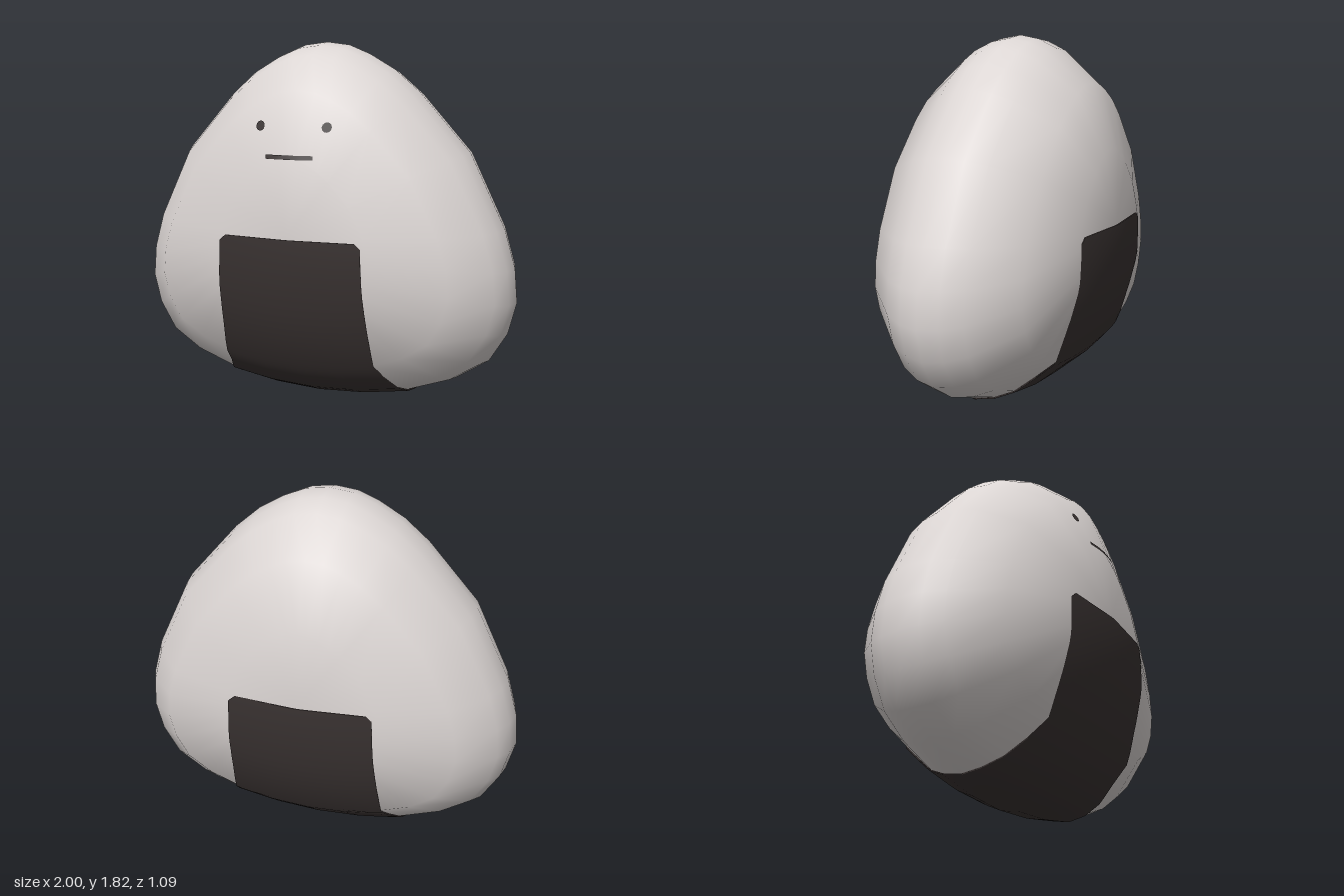
import * as THREE from 'three';
import { mergeVertices } from 'three/addons/utils/BufferGeometryUtils.js';

const CY = 0.915; // height of the body's middle
// Right half of the rounded triangle outline, top to bottom
const half = [[0, 1.825], [0.12, 1.81], [0.23, 1.765], [0.36, 1.69], [0.49, 1.58], [0.75, 1.29], [0.93, 0.92],
  [0.985, 0.73], [1, 0.56], [0.96, 0.4], [0.87, 0.25], [0.71, 0.145], [0.49, 0.065], [0.25, 0.025], [0, 0.01]];
// Counterclockwise closed outline
const outline = [...half.map(([x, y]) => [-x, y]), ...half.slice(0, -1).reverse()];
// Outline scale against depth, from the middle to the rim
const rings = [[0, 0.538], [0.4, 0.505], [0.75, 0.395], [0.93, 0.2], [0.98, 0.1], [1, 0]];

const lerpTable = (table, v) => {
  for (let i = 1; i < table.length; i++) {
    const [a, p] = table[i - 1], [b, q] = table[i];
    if (v <= b) return p + (q - p) * (v - a) / (b - a);
  }
  return table[table.length - 1][1];
};

// Which scaled copy of the outline passes through (x, y)
function outlineScale(x, y) {
  let s = 0;
  for (let i = 1; i < outline.length; i++) {
    const [ax, ay] = outline[i - 1], [bx, by] = outline[i];
    const nx = by - ay, ny = ax - bx;
    s = Math.max(s, (nx * x + ny * (y - CY)) / (nx * ax + ny * (ay - CY)));
  }
  return s;
}
const depthAt = (x, y) => lerpTable(rings, outlineScale(x, y));

// Surface from a grid of points
function gridGeometry(rows) {
  const n = rows[0].length, index = [];
  for (let i = 0; i < rows.length - 1; i++) for (let j = 0; j < n - 1; j++) {
    const a = i * n + j, b = a + n;
    index.push(a, b, b + 1, a, b + 1, a + 1);
  }
  const g = new THREE.BufferGeometry();
  g.setAttribute('position', new THREE.Float32BufferAttribute(rows.flat(2), 3));
  g.setIndex(index);
  return g;
}

function bodyGeometry() {
  const front = rings.map(([s, z]) => [s, z]);
  const back = rings.slice(0, -1).reverse().map(([s, z]) => [s, -z]);
  const rows = [...front, ...back].map(([s, z]) => outline.map(([x, y]) => [x * s, CY + (y - CY) * s, z]));
  const g = mergeVertices(gridGeometry(rows), 1e-4);
  g.computeVertexNormals();
  return g;
}

// Approximate outward direction on the lower body
const outward = (x, y, z) => new THREE.Vector3(x, (y - CY) / 0.82, z / 0.29).normalize();

// Point on the body reached from (x, 0.9, 0), going from front (0) under to back (180 degrees)
function wrapPoint(x, deg, lift) {
  const t = deg * Math.PI / 180, dy = -Math.sin(t), dz = Math.cos(t);
  let lo = 0, hi = 1.2;
  for (let k = 0; k < 30; k++) {
    const m = (lo + hi) / 2, y = 0.9 + dy * m;
    const s = outlineScale(x, y);
    if (s < 1 && Math.abs(dz * m) < lerpTable(rings, s)) lo = m; else hi = m;
  }
  const y = 0.9 + dy * lo, z = dz * lo, n = outward(x, y, z);
  return [x + n.x * lift, y + n.y * lift, z + n.z * lift];
}

function wrapGeometry() {
  const widths = [[0, 0.33], [3, 0.36], [12, 0.363], [24, 0.368], [35, 0.373], [46, 0.38], [58, 0.392],
    [67, 0.415], [76, 0.455], [83, 0.48], [90, 0.49]];
  const degs = [];
  widths.forEach(([d], i) => {
    if (i) for (let k = 1; k <= 3; k++) degs.push(widths[i - 1][0] + (d - widths[i - 1][0]) * k / 3);
    else degs.push(0);
  });
  const all = [...degs, ...degs.slice(0, -1).reverse().map(d => 180 - d)];
  all.unshift(0); all.push(180);
  const cols = 20;
  // The outermost rows and columns tuck under the surface to close the rim
  const rows = all.map((d, i) => {
    const w = lerpTable(widths, Math.min(d, 180 - d));
    return Array.from({ length: cols + 3 }, (_, j) => {
      const u = THREE.MathUtils.clamp((j - 1) / cols, 0, 1) * 2 - 1;
      const rim = i === 0 || i === all.length - 1 || j === 0 || j === cols + 2;
      return wrapPoint(u * w, d, rim ? -0.02 : 0.009);
    });
  });
  const g = gridGeometry(rows);
  g.setAttribute('normal', new THREE.Float32BufferAttribute(
    rows.flat().flatMap(p => outward(...p).toArray()), 3));
  return g;
}

// Lay a flat shape onto the front of the body
function faceDecal(geometry, x, y) {
  geometry.translate(x, y, 0);
  const p = geometry.attributes.position;
  for (let i = 0; i < p.count; i++) p.setZ(i, depthAt(p.getX(i), p.getY(i)) + 0.006);
  geometry.computeVertexNormals();
  return geometry;
}

export function createModel() {
  const rice = new THREE.MeshStandardMaterial({ color: 0xdcd6d4 });
  rice.name = 'rice white';
  const seaweed = new THREE.MeshStandardMaterial({ color: 0x3a3332 });
  seaweed.name = 'seaweed black';

  const group = new THREE.Group();
  group.name = 'riceBall';
  const add = (name, geometry, material) => {
    const mesh = new THREE.Mesh(geometry, material);
    mesh.name = name;
    group.add(mesh);
  };

  add('riceBody', bodyGeometry(), rice);
  add('seaweedWrap', wrapGeometry(), seaweed);

  // Face
  add('leftEye', faceDecal(new THREE.CircleGeometry(0.024, 12), 0.17, 1.428), seaweed);
  add('rightEye', faceDecal(new THREE.CircleGeometry(0.024, 12), -0.17, 1.428), seaweed);
  add('mouth', faceDecal(new THREE.PlaneGeometry(0.24, 0.02, 16, 2), 0, 1.287), seaweed);
  return group;
}
